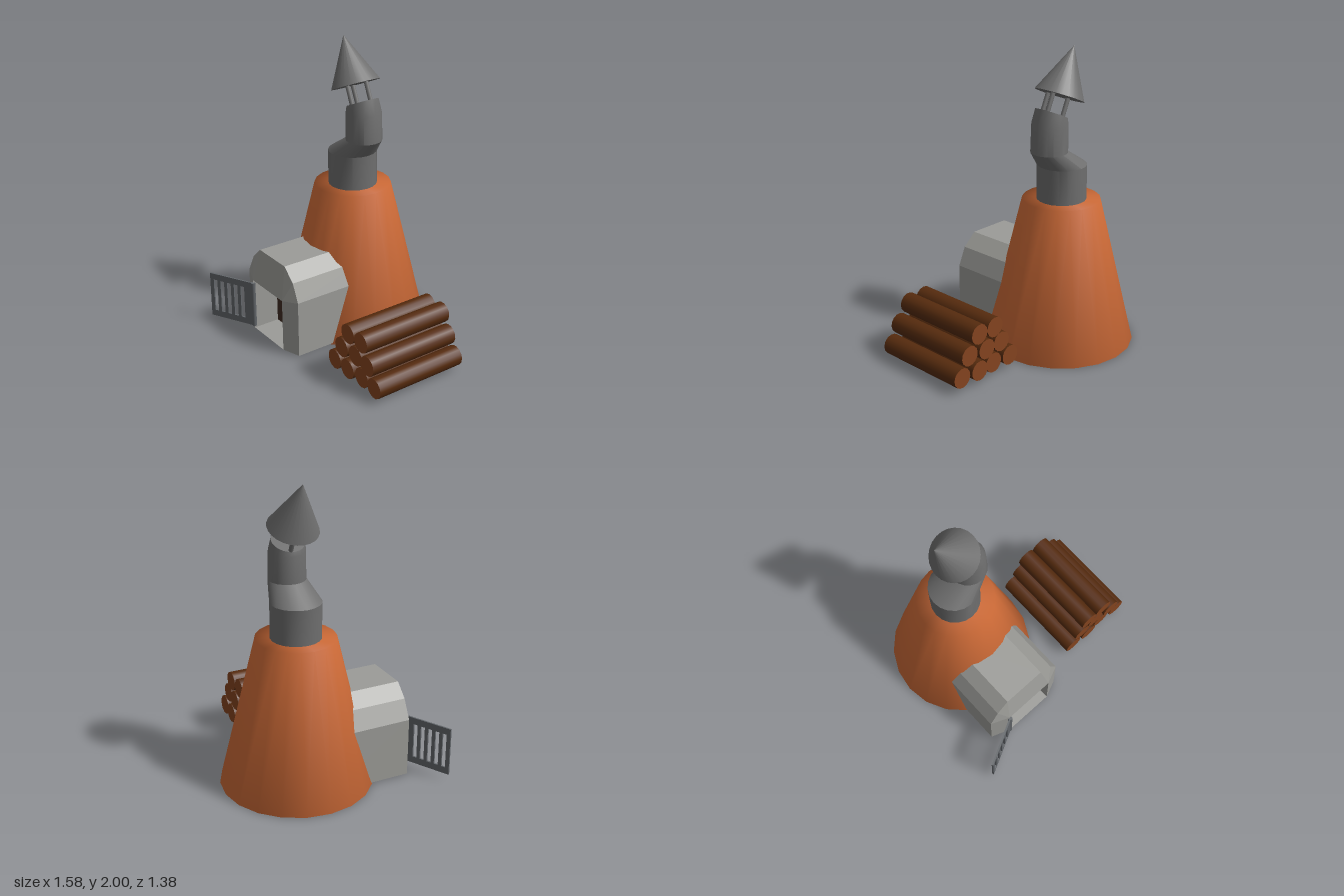
import * as THREE from 'three';
import { mergeVertices, toCreasedNormals } from 'three/addons/utils/BufferGeometryUtils.js';

const mat = (name, color, double = false) => {
  const m = new THREE.MeshStandardMaterial({ color });
  m.name = name;
  if (double) m.side = THREE.DoubleSide;
  return m;
};

export function createModel() {
  const clay = mat('orange clay', 0xd06c38);
  const stone = mat('light stone', 0x9c9c98, true);
  const metal = mat('grey metal', 0x6e6e6e);
  const iron = mat('dark iron', 0x62666a);
  const soot = mat('soot', 0x3f2c22);
  const bark = mat('bark', 0x562b0e);
  const cutWood = mat('cut wood', 0x84441f);

  const model = new THREE.Group();
  model.name = 'kiln';
  const add = (name, geometry, material, parent = model) => {
    const mesh = new THREE.Mesh(geometry, material);
    mesh.name = name;
    parent.add(mesh);
    return mesh;
  };
  const CX = -0.29, CZ = -0.19;

  // Tapered body, normals blended over its rims
  let body = new THREE.CylinderGeometry(0.26, 0.5, 1, 20);
  body.deleteAttribute('normal');
  body.deleteAttribute('uv');
  body = mergeVertices(body);
  body.computeVertexNormals();
  add('kilnBody', body, clay).position.set(CX, 0.5, CZ);

  // Crooked chimney: rings of [x, y, radius, tilt]
  const rings = [
    [CX, 0.97, 0.165, 0], [CX, 1.235, 0.165, 0], [-0.163, 1.345, 0.122, 0],
    [-0.167, 1.53, 0.119, 0.06], [-0.18, 1.597, 0.108, 0.43],
  ];
  const pipe = new THREE.CylinderGeometry(1, 1, 1, 20, rings.length - 1);
  const p = pipe.attributes.position;
  for (let i = 0; i < p.count; i++) {
    const [x, y, r, tilt] = rings[Math.round((p.getY(i) + 0.5) * (rings.length - 1))];
    const u = p.getX(i) * r;
    p.setXYZ(i, x + u * Math.cos(tilt), y + u * Math.sin(tilt), CZ + p.getZ(i) * r);
  }
  add('chimneyPipe', toCreasedNormals(pipe, 0.5), metal);

  // Tilted rain cap on thin posts
  const cap = new THREE.Group();
  cap.name = 'chimneyCap';
  cap.position.set(-0.255, 1.698, CZ);
  cap.rotation.z = 0.42;
  model.add(cap);
  add('capCone', new THREE.ConeGeometry(0.165, 0.33, 24), metal, cap).position.y = 0.165;
  for (const [x, z] of [[-0.065, -0.02], [0.02, 0.08], [0.092, -0.02]]) {
    add('capPost', new THREE.CylinderGeometry(0.015, 0.015, 0.16, 8), metal, cap).position.set(x, -0.07, z);
  }

  // Stone firebox: outer arch, sloped face, then the walls of the opening
  const arch = [[-0.59, 0.01], [-0.59, 0.405], [-0.525, 0.53], [-0.437, 0.615],
    [-0.135, 0.615], [-0.04, 0.53], [0.015, 0.405], [0.015, 0.01]];
  const L = -0.46, R = -0.1, T = 0.39, B = 0.02;
  const mouth = [[L, B], [L, T], [L, T], [L, T], [R, T], [R, T], [R, T], [R, B]];
  const layers = [[arch, -0.1], [arch, 0.475], [mouth, 0.525], [mouth, 0.33]];
  const verts = [];
  for (let k = 0; k < layers.length - 1; k++) {
    const [a, za] = layers[k], [b, zb] = layers[k + 1];
    for (let i = 0; i < a.length; i++) {
      const j = (i + 1) % a.length;
      const A = [...a[i], za], D = [...a[j], za], E = [...b[i], zb], F = [...b[j], zb];
      verts.push(...A, ...E, ...F, ...A, ...F, ...D);
    }
  }
  const firebox = new THREE.BufferGeometry();
  firebox.setAttribute('position', new THREE.Float32BufferAttribute(verts, 3));
  firebox.computeVertexNormals();
  add('firebox', firebox, stone);
  add('fireboxInterior', new THREE.BoxGeometry(R - L, T - B, 0.008), soot)
    .position.set((L + R) / 2, (T + B) / 2, 0.334);

  // Open grate door, hinged on the left of the opening
  const rect = (shape, x0, y0, x1, y1) =>
    shape.moveTo(x0, y0).lineTo(x1, y0).lineTo(x1, y1).lineTo(x0, y1).closePath();
  const panel = rect(new THREE.Shape(), 0, 0, 0.35, 0.33);
  for (let i = 0; i < 5; i++) {
    const x = 0.028 + i * 0.054;
    panel.holes.push(rect(new THREE.Path(), x, 0.045, x + 0.03, 0.285));
  }
  const door = new THREE.Group();
  door.name = 'door';
  door.position.set(-0.765, 0.04, 0.685);
  door.rotation.y = 0.477;
  model.add(door);
  add('doorGrate', new THREE.ExtrudeGeometry(panel, { depth: 0.012, bevelEnabled: false }), iron, door)
    .position.z = -0.006;
  add('doorHinge', new THREE.CylinderGeometry(0.015, 0.015, 0.33, 8), iron, door).position.set(0.345, 0.165, 0);

  // Stacked logs, each slightly shifted
  const rows = [[0.095, [0.295, 0.44, 0.575, 0.718]], [0.222, [0.372, 0.51, 0.648]], [0.347, [0.434, 0.57]]];
  let n = 0;
  for (const [y, xs] of rows) {
    for (const x of xs) {
      const log = add('log', new THREE.CylinderGeometry(0.068, 0.068, 0.665, 14), [bark, cutWood, cutWood]);
      log.rotation.set(Math.PI / 2, n * 0.7, 0);
      log.position.set(x, y, 0.052 + 0.007 * Math.sin(n * 2.3));
      n++;
    }
  }
  return model;
}
